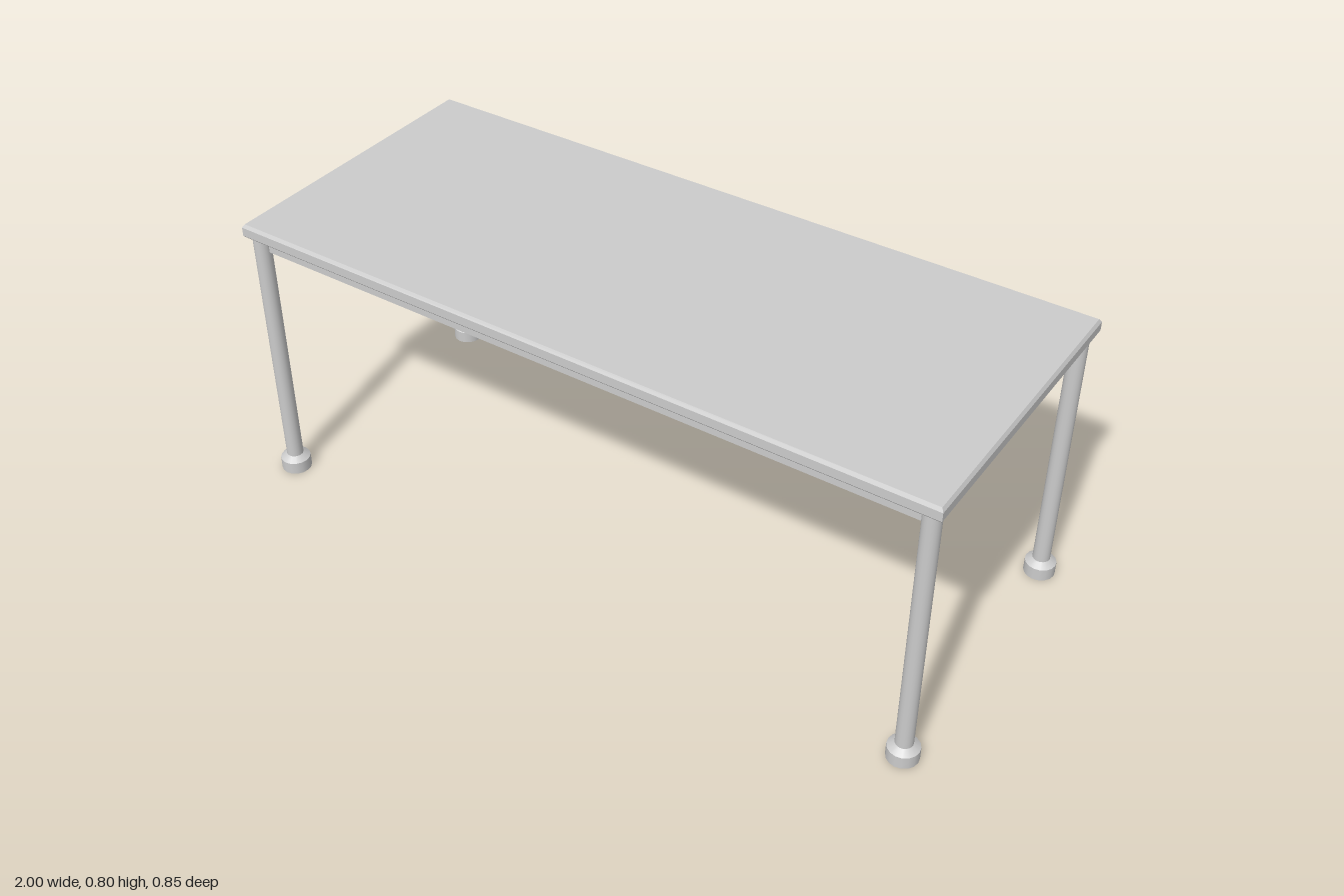
import * as THREE from 'three';

const material = new THREE.MeshStandardMaterial({ color: 0xcccccc });
const flatMaterial = new THREE.MeshStandardMaterial({ color: 0xcccccc, flatShading: true });

const LEG_X = 0.959, LEG_Z = 0.384;
const TOP_UNDERSIDE = 0.758;

function addMesh(parent, name, geometry, mat, x = 0, y = 0, z = 0) {
  const mesh = new THREE.Mesh(geometry, mat);
  mesh.name = name;
  mesh.position.set(x, y, z);
  parent.add(mesh);
  return mesh;
}

// Slab with chamfered top and bottom edges: each height level has its own inset
function slabGeometry(halfX, halfZ, levels) {
  const rows = levels.length - 1;
  const geometry = new THREE.BoxGeometry(2, rows, 2, 1, rows, 1);
  const p = geometry.attributes.position;
  for (let i = 0; i < p.count; i++) {
    const [y, inset] = levels[Math.round(p.getY(i) + rows / 2)];
    p.setXYZ(i, p.getX(i) * (halfX - inset), y, p.getZ(i) * (halfZ - inset));
  }
  geometry.computeVertexNormals();
  return geometry;
}

// Round post standing in a wider foot with a sloped shoulder
function createLeg(x, z) {
  const leg = new THREE.Group();
  leg.name = 'leg';
  leg.position.set(x, 0, z);
  const postHeight = TOP_UNDERSIDE - 0.03;
  addMesh(leg, 'post', new THREE.CylinderGeometry(0.0228, 0.0228, postHeight, 20),
    material, 0, 0.03 + postHeight / 2, 0);
  addMesh(leg, 'footBase', new THREE.CylinderGeometry(0.041, 0.041, 0.035, 16),
    material, 0, 0.0175, 0);
  addMesh(leg, 'footShoulder', new THREE.CylinderGeometry(0.0228, 0.041, 0.013, 16, 1, true),
    material, 0, 0.0415, 0);
  return leg;
}

export function createModel() {
  const table = new THREE.Group();
  table.name = 'table';

  // Tabletop
  const levels = [[TOP_UNDERSIDE, 0.003], [0.762, 0], [0.786, 0], [0.795, 0.006]];
  addMesh(table, 'tabletop', slabGeometry(0.993, 0.4155, levels), flatMaterial, 0, 0, 0.0025 * -1);

  // Solid frame under the top, reaching the leg centres
  addMesh(table, 'underframe', new THREE.BoxGeometry(LEG_X * 2, 0.044, LEG_Z * 2),
    material, 0, 0.738, 0);

  // Legs at the four corners
  for (const sx of [-1, 1])
    for (const sz of [-1, 1]) table.add(createLeg(sx * LEG_X, sz * LEG_Z));

  return table;
}
